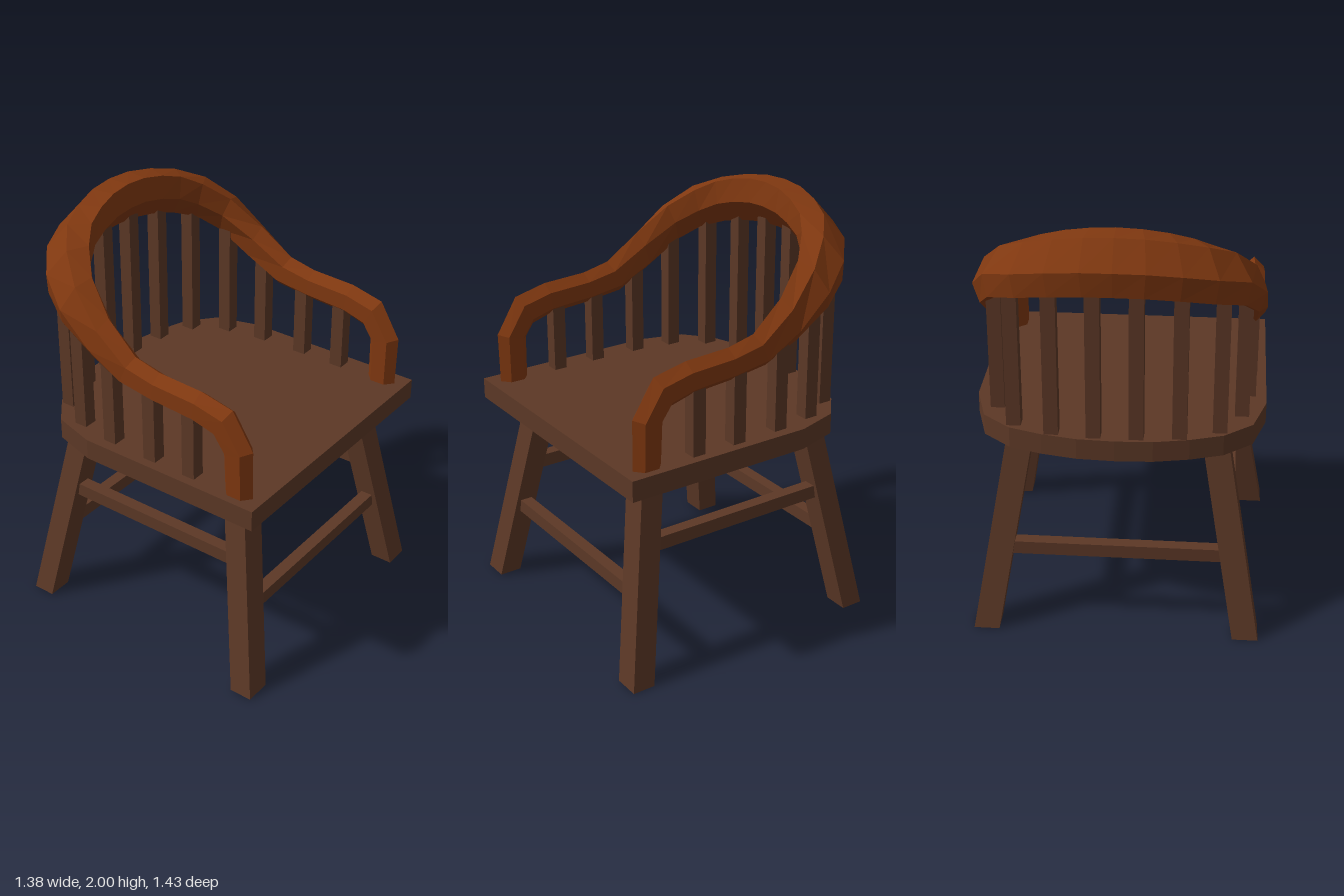
import * as THREE from 'three';

const seatWood = new THREE.MeshStandardMaterial({ color: 0x5c3826, flatShading: true });
seatWood.name = 'dark brown wood';
const railWood = new THREE.MeshStandardMaterial({ color: 0x803810, flatShading: true });
railWood.name = 'reddish brown wood';

export function createModel() {
  const chair = new THREE.Group();
  chair.name = 'chair';

  const add = (name, geometry, material, x = 0, y = 0, z = 0) => {
    const mesh = new THREE.Mesh(geometry, material);
    mesh.name = name;
    mesh.position.set(x, y, z);
    chair.add(mesh);
    return mesh;
  };
  const box = (name, w, h, d, x, y, z) => add(name, new THREE.BoxGeometry(w, h, d), seatWood, x, y, z);

  // Seat: straight front and sides, rounded back
  const half = [[0.67, 0.69], [0.67, -0.23], [0.61, -0.44], [0.48, -0.55], [0.33, -0.6], [0.17, -0.632]];
  const outline = [...half, [0, -0.64], ...half.map(([x, z]) => [-x, z]).reverse()];
  const seatShape = new THREE.Shape(outline.map(([x, z]) => new THREE.Vector2(x, -z)));
  const seat = new THREE.ExtrudeGeometry(seatShape, { depth: 0.1, bevelEnabled: false });
  seat.rotateX(-Math.PI / 2);
  add('seat', seat, seatWood, 0, 0.95, 0);

  // Splayed legs: upright boxes sheared toward the middle
  const leg = (name, w, x, z) => {
    const geo = new THREE.BoxGeometry(w, 0.97, 0.11).translate(x, 0.485, z);
    const p = geo.attributes.position;
    for (let i = 0; i < p.count; i++) {
      const shift = 0.172 * p.getY(i);
      p.setX(i, p.getX(i) - Math.sign(x) * shift);
      p.setZ(i, p.getZ(i) - Math.sign(z) * shift);
    }
    geo.computeVertexNormals();
    add(name, geo, seatWood);
  };
  for (const [side, s] of [['left', 1], ['right', -1]]) {
    leg(`${side}FrontLeg`, 0.125, s * 0.625, 0.655);
    leg(`${side}BackLeg`, 0.12, s * 0.611, -0.58);
    box(`${side}Stretcher`, 0.06, 0.065, 0.98, s * 0.51, 0.62, 0.037);
  }
  box('frontStretcher', 1.06, 0.065, 0.06, 0, 0.402, 0.585);
  box('backStretcher', 1.04, 0.065, 0.06, 0, 0.402, -0.51);

  // Spindles between seat and rail: x, z, top height
  const spindles = [[0.595, 0.317, 1.4], [0.595, 0.1, 1.42], [0.588, -0.135, 1.5], [0.558, -0.335, 1.66],
    [0.462, -0.498, 1.76], [0.285, -0.568, 1.82], [0.095, -0.587, 1.85]];
  spindles.forEach(([x, z, top], i) => {
    for (const s of [1, -1]) {
      box(`${s > 0 ? 'left' : 'right'}Spindle${i + 1}`, 0.065, top - 1.03, 0.065, s * x, (top + 1.03) / 2, z);
    }
  });

  // Arm and back rail: hexagonal section, given as centre, ridge vector, half width
  const stations = [
    [[0.59, 1.03, 0.566], [0, 0, 0.072], 0.042],
    [[0.595, 1.27, 0.564], [0, 0.02, 0.076], 0.046],
    [[0.597, 1.385, 0.49], [0, 0.076, 0.044], 0.048],
    [[0.6, 1.418, 0.36], [0, 0.08, 0.012], 0.048],
    [[0.6, 1.432, 0.14], [0, 0.077, 0.01], 0.048],
    [[0.598, 1.46, -0.02], [0, 0.08, 0.036], 0.049],
    [[0.592, 1.565, -0.185], [-0.015, 0.1, 0.038], 0.056],
    [[0.563, 1.69, -0.34], [-0.05, 0.105, 0.05], 0.066],
    [[0.487, 1.775, -0.45], [-0.07, 0.107, 0.065], 0.075],
    [[0.375, 1.825, -0.53], [-0.05, 0.112, 0.085], 0.08],
    [[0.25, 1.857, -0.57], [-0.03, 0.114, 0.095], 0.083],
    [[0.12, 1.877, -0.595], [-0.01, 0.115, 0.1], 0.085],
  ].map(([c, a, w]) => ({ c: new THREE.Vector3(...c), a: new THREE.Vector3(...a), w }));
  const flip = (v) => new THREE.Vector3(-v.x, v.y, v.z);
  const rail = [
    ...stations,
    { c: new THREE.Vector3(0, 1.882, -0.6), a: new THREE.Vector3(0, 0.117, 0.1), w: 0.086 },
    ...stations.map(({ c, a, w }) => ({ c: flip(c), a: flip(a), w })).reverse(),
  ];
  const positions = [];
  const index = [];
  rail.forEach(({ c, a, w }, i) => {
    const before = rail[Math.max(i - 1, 0)].c;
    const after = rail[Math.min(i + 1, rail.length - 1)].c;
    const across = after.clone().sub(before).cross(a).normalize();
    for (let k = 0; k < 6; k++) {
      const t = (k * Math.PI) / 3;
      const p = c.clone().addScaledVector(a, Math.cos(t)).addScaledVector(across, (w / 0.866) * Math.sin(t));
      positions.push(p.x, p.y, p.z);
      if (i === rail.length - 1) continue;
      const p0 = i * 6 + k;
      const p1 = i * 6 + ((k + 1) % 6);
      index.push(p0, p1, p0 + 6, p1, p1 + 6, p0 + 6);
    }
  });
  const railGeo = new THREE.BufferGeometry();
  railGeo.setAttribute('position', new THREE.Float32BufferAttribute(positions, 3));
  railGeo.setIndex(index);
  railGeo.computeVertexNormals();
  add('armAndBackRail', railGeo, railWood);

  return chair;
}
